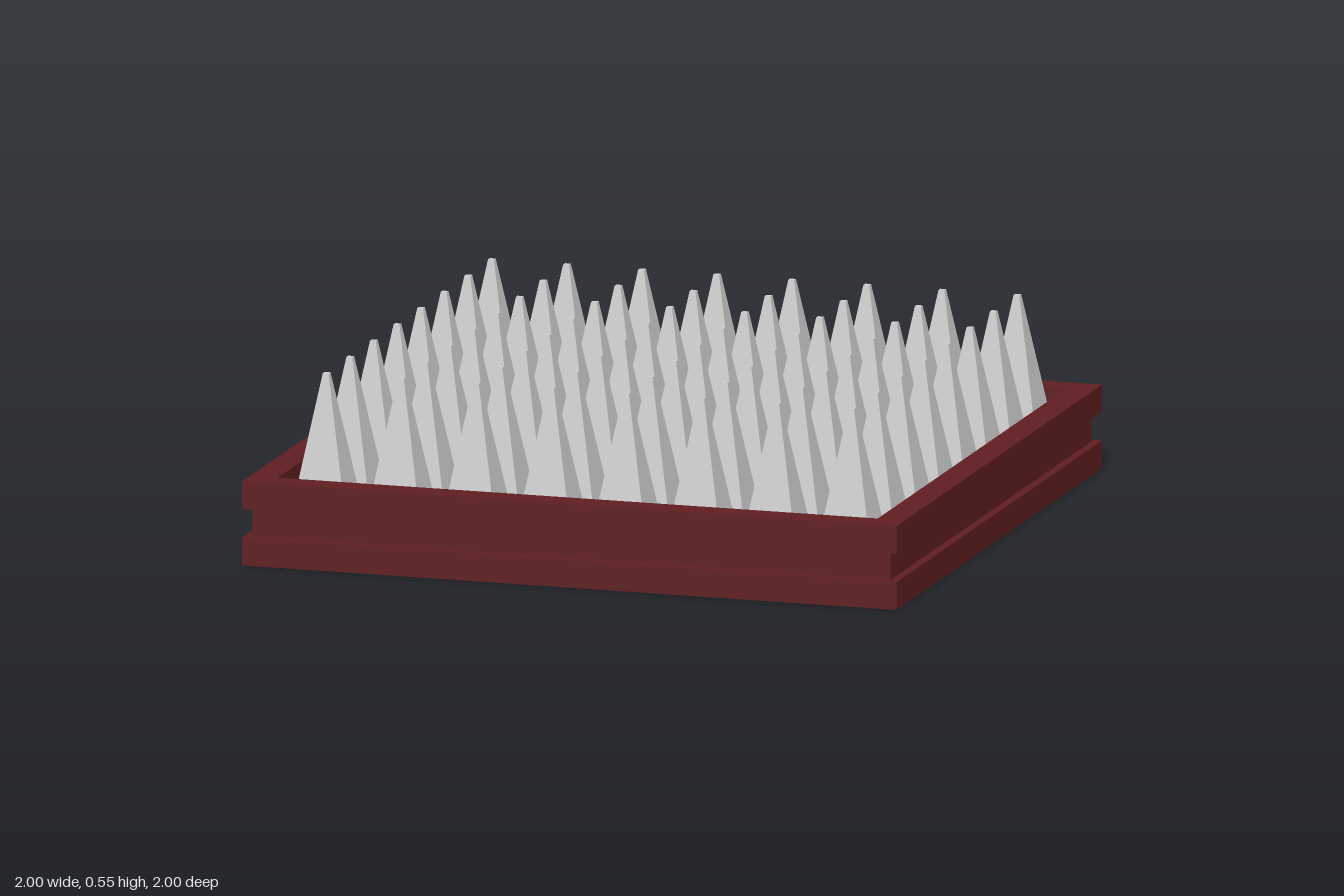
import * as THREE from 'three';

const SQ = Math.SQRT2; // half-width of a square -> its corner radius

export function createModel() {
  const model = new THREE.Group();
  const wood = new THREE.MeshStandardMaterial({ color: 0x5f1e20, flatShading: true });
  const metal = new THREE.MeshStandardMaterial({ color: 0xcccccc, flatShading: true });

  // Square tray: [half-width, y] profile with a side groove and a sunken floor
  const floorY = 0.167;
  const profile = [
    [0, 0], [1, 0], [1, 0.083], [0.975, 0.083], [0.975, 0.167], [1, 0.167],
    [1, 0.25], [0.917, 0.25], [0.917, floorY], [0, floorY],
  ].map(([h, y]) => new THREE.Vector2(h * SQ, y));
  const trayGeo = new THREE.LatheGeometry(profile, 4, Math.PI / 4);
  const tray = new THREE.Mesh(trayGeo, wood);
  tray.name = 'tray';
  model.add(tray);

  // 8 x 8 grid of blunt-tipped square spikes standing on the tray floor
  const spikes = new THREE.Group();
  spikes.name = 'spikes';
  const count = 8, reach = 0.803, height = 0.547 - floorY;
  const spikeGeo = new THREE.CylinderGeometry(0.009 * SQ, 0.078 * SQ, height, 4, 1, false, Math.PI / 4);
  for (let i = 0; i < count; i++) {
    for (let j = 0; j < count; j++) {
      const spike = new THREE.Mesh(spikeGeo, metal);
      spike.name = 'spike';
      const at = (k) => -reach + (2 * reach * k) / (count - 1);
      spike.position.set(at(i), floorY + height / 2, at(j));
      spikes.add(spike);
    }
  }
  model.add(spikes);
  return model;
}
